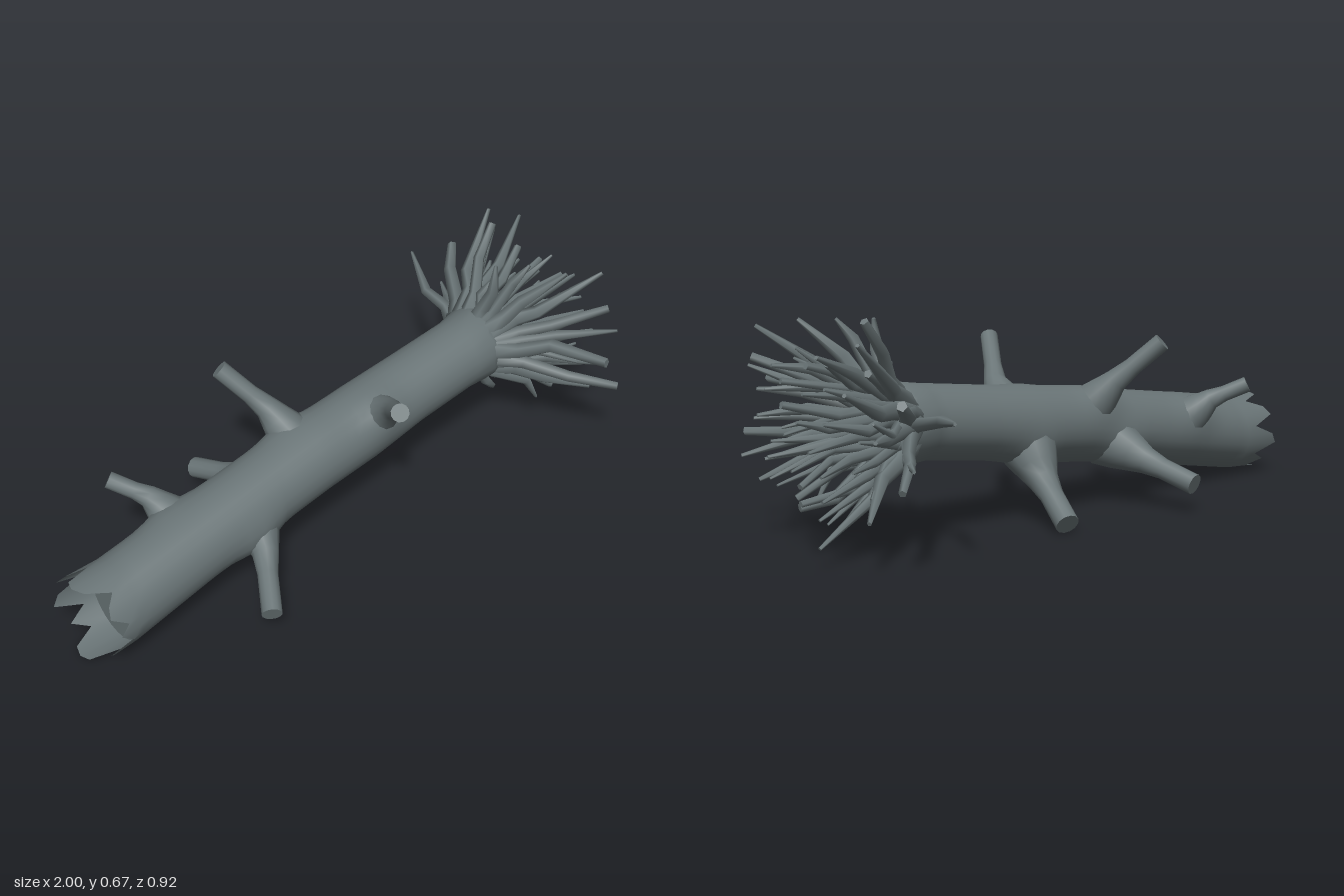
import * as THREE from 'three';

const bark = new THREE.MeshStandardMaterial({ color: 0x6a7577, side: THREE.DoubleSide });
bark.name = 'grey bark';

// Small seeded generator for the irregular roots
let seed = 7;
const rand = () => (seed = (seed * 16807) % 2147483647) / 2147483647;
const jitter = (a) => (rand() - 0.5) * 2 * a;
const mix = (p, q, k) => p.map((c, i) => c + (q[i] - c) * k);

// Skin a list of equal-length vertex loops, with optional flat caps
function loft(rings, capStart, capEnd) {
  const n = rings[0].length, pos = [], idx = [];
  const push = (p) => pos.push(p.x, p.y, p.z) / 3 - 1;
  rings.forEach((r) => r.forEach(push));
  for (let i = 0; i < rings.length - 1; i++) {
    for (let j = 0; j < n; j++) {
      const a = i * n + j, b = i * n + (j + 1) % n;
      idx.push(a, b, a + n, b, b + n, a + n);
    }
  }
  const cap = (ring, flip) => {
    const c = ring.reduce((s, p) => s.add(p), new THREE.Vector3()).divideScalar(n);
    const ci = push(c), first = ring.map(push)[0];
    for (let j = 0; j < n; j++) {
      const a = first + j, b = first + (j + 1) % n;
      idx.push(ci, flip ? b : a, flip ? a : b);
    }
  };
  if (capStart) cap(rings[0], true);
  if (capEnd) cap(rings[rings.length - 1], false);
  const g = new THREE.BufferGeometry();
  g.setAttribute('position', new THREE.Float32BufferAttribute(pos, 3));
  g.setIndex(idx);
  g.computeVertexNormals();
  return g;
}

// Tapered limb through [x, y, z, radius] stations
function limb(stations, sides) {
  const pts = stations.map((s) => new THREE.Vector3(s[0], s[1], s[2]));
  const ref = new THREE.Vector3(0.31, 0.2, 0.93);
  const dir = pts[pts.length - 1].clone().sub(pts[0]).normalize();
  if (Math.abs(dir.dot(ref)) > 0.8) ref.set(0.2, 0.95, 0.1);
  const rings = pts.map((p, i) => {
    const t = pts[Math.min(i + 1, pts.length - 1)].clone().sub(pts[Math.max(i - 1, 0)]).normalize();
    const u = ref.clone().cross(t).normalize(), v = t.clone().cross(u);
    return Array.from({ length: sides }, (_, j) => {
      const a = (j / sides) * Math.PI * 2, r = stations[i][3];
      return p.clone().addScaledVector(u, Math.cos(a) * r).addScaledVector(v, Math.sin(a) * r);
    });
  });
  return loft(rings, false, true);
}

// Branch stubs: base inside the trunk, bend, tip, thickness
const BRANCHES = [
  [[-0.58, 0.23, 0.02], [-0.63, 0.305, -0.06], [-0.71, 0.355, -0.145], 0.026],
  [[-0.13, 0.3, 0.02], [-0.18, 0.41, -0.075], [-0.272, 0.533, -0.185], 0.029],
  [[0.13, 0.31, 0.06], [0.11, 0.405, 0.17], [0.012, 0.53, 0.32], 0.028],
  [[0.125, 0.25, 0.01], [0.14, 0.135, -0.1], [0.177, 0.033, -0.25], 0.036],
  [[-0.22, 0.21, 0.02], [-0.265, 0.15, -0.13], [-0.305, 0.095, -0.3], 0.033],
  [[-0.36, 0.2, 0.08], [-0.41, 0.145, 0.215], [-0.51, 0.08, 0.375], 0.031],
];

export function createModel() {
  const group = new THREE.Group();
  const add = (name, geometry, parent = group) => {
    const m = new THREE.Mesh(geometry, bark);
    m.name = name;
    parent.add(m);
  };

  // Trunk loops, swelling where a branch leaves the bark
  const N = 24;
  const collars = BRANCHES.map(([base, mid]) => new THREE.Vector3(...mix(base, mid, 0.75)));
  const loop = ([x, y, z, r], shift = () => 0) => Array.from({ length: N }, (_, j) => {
    const a = (j / N) * Math.PI * 2;
    const out = new THREE.Vector3(0, Math.cos(a), Math.sin(a));
    const p = new THREE.Vector3(x + shift(j), y, z).addScaledVector(out, r);
    const swell = collars.reduce((s, c) => s + Math.exp(-c.distanceToSquared(p) / 0.005), 0);
    return p.addScaledVector(out, 0.024 * swell);
  });
  // Axis stations, subdivided along the length
  const axis = [
    [-0.86, 0.148, 0.104, 0.129], [-0.6, 0.189, 0.082, 0.125], [-0.3, 0.236, 0.06, 0.121],
    [-0.1, 0.266, 0.046, 0.122], [0.1, 0.287, 0.034, 0.122], [0.3, 0.316, 0.024, 0.115],
    [0.52, 0.343, 0.015, 0.114],
  ];
  const body = [];
  axis.forEach((s, i) => {
    const steps = i < axis.length - 1 ? 6 : 1;
    for (let k = 0; k < steps; k++) body.push(loop(k ? mix(s, axis[i + 1], k / steps) : s));
  });
  // Splinter lengths around the broken end
  const teeth = [0.11, 0.09, 0.02, 0.05, 0.06, 0.01, 0.04, 0.0, 0.07, 0.05, 0.01, 0.1,
    0.11, 0.1, 0.03, 0.08, 0.02, 0.11, 0.09, 0.01, 0.1, 0.08, 0.02, 0.1];
  add('trunk', loft([
    loop([-0.89, 0.143, 0.107, 0.131], (j) => -teeth[j]),
    ...body,
    loop([0.59, 0.346, 0.006, 0.122], (j) => (j % 3) * 0.01),
    loop([0.64, 0.346, 0.003, 0.11], (j) => (j % 2) * 0.015),
    loop([0.67, 0.347, 0, 0.06]),
  ], false, true));
  // Recessed wood inside the broken end
  add('brokenCore', loft([loop([-0.87, 0.148, 0.105, 0.124]), loop([-0.84, 0.152, 0.103, 0.122])], true, false));

  const branches = new THREE.Group();
  branches.name = 'branches';
  group.add(branches);
  BRANCHES.forEach(([base, mid, tip, r]) => {
    add('branch', limb([
      [...base, r * 2.8], [...mix(base, mid, 0.4), r * 2.3], [...mix(base, mid, 0.7), r * 1.8],
      [...mid, r * 1.3], [...mix(mid, tip, 0.35), r], [...tip, r],
    ], 12), branches);
  });

  // Root burst: outer tips as [x, y, z], then a spiral of inner tips
  const roots = new THREE.Group();
  roots.name = 'roots';
  group.add(roots);
  const cy = 0.346, cx = 0.61;
  const tips = [
    [0.75, 0.45, 0.455], [0.85, 0.5, 0.4], [0.9, 0.63, 0.27], [0.79, 0.645, 0.22], [0.88, 0.535, 0.33],
    [0.73, 0.65, 0.115], [0.645, 0.65, 0.05], [0.67, 0.58, 0.02], [0.8, 0.665, -0.13], [0.91, 0.62, -0.26],
    [0.98, 0.5, -0.3], [0.998, 0.59, -0.2], [0.84, 0.465, -0.355], [0.745, 0.42, -0.455], [0.9, 0.37, -0.32],
    [0.83, 0.295, -0.39], [0.86, 0.24, -0.38], [0.9, 0.15, -0.285], [0.95, 0.06, -0.12], [0.83, 0.09, -0.05],
    [0.72, 0.12, 0], [0.78, 0.13, 0.15], [0.9, 0.185, 0.27], [0.95, 0.26, 0.28], [0.85, 0.3, 0.43],
  ];
  const outer = tips.length, inner = 38;
  for (let i = 0; i < inner; i++) {
    const a = i * 2.39996, r = 0.04 + 0.25 * Math.sqrt((i + 0.5) / inner);
    const len = 0.375 + jitter(0.04);
    tips.push([Math.min(0.98, cx + Math.sqrt(len * len - r * r)), cy + Math.sin(a) * r * 0.9, Math.cos(a) * r]);
  }
  tips.forEach(([x, y, z], i) => {
    const dy = y - cy, r = Math.hypot(z, dy);
    const k = (i < outer ? 0.085 : Math.min(0.085, r * 0.4)) / r; // start spread over the stump
    const at = (f, bow) => [cx + (x - cx) * f + bow, cy + dy * (k + (1 - k) * f), z * (k + (1 - k) * f)];
    const thick = (i < outer ? 0.019 : 0.015) + rand() * 0.008;
    const bend = at(0.55 + jitter(0.12), jitter(0.025));
    bend[1] += jitter(0.03);
    bend[2] += jitter(0.03);
    const blunt = i % 4 === 0 ? 0.6 : 0.25;
    add('root', limb([
      [...at(0, 0), thick * 1.5], [...at(0.25, 0.01), thick], [...bend, thick * 0.85], [x, y, z, thick * blunt],
    ], 5), roots);
  });

  return group;
}
